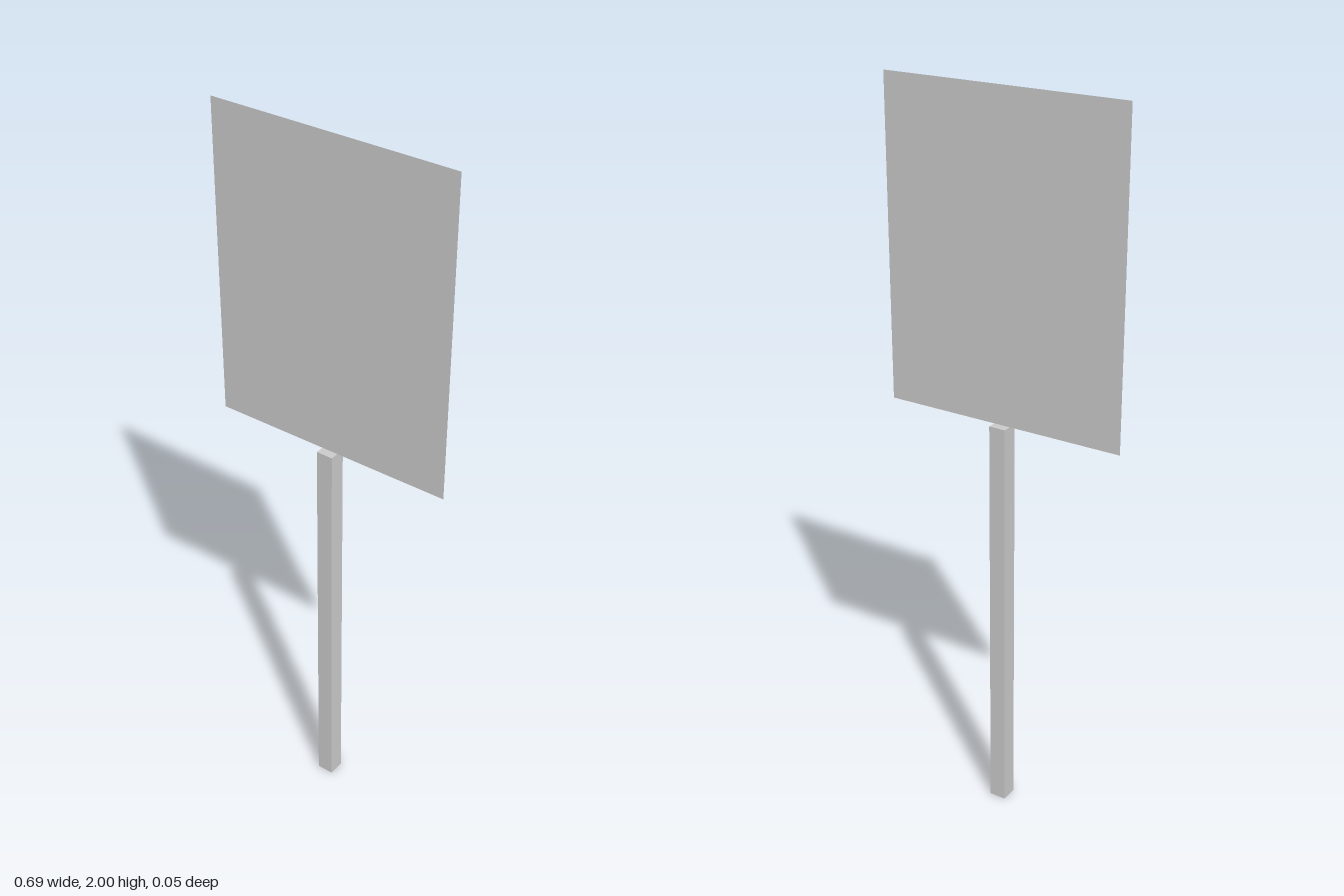
import * as THREE from 'three';

const POST_WIDTH = 0.047;
const POST_HEIGHT = 1.143;
const PANEL_WIDTH = 0.686;
const PANEL_HEIGHT = 2 - POST_HEIGHT;

export function createModel() {
  const group = new THREE.Group();
  group.name = 'signpost';

  // Square post standing on the ground
  const post = new THREE.Mesh(
    new THREE.BoxGeometry(POST_WIDTH, POST_HEIGHT, POST_WIDTH),
    new THREE.MeshStandardMaterial({ color: 0xcccccc, flatShading: true })
  );
  post.name = 'post';
  post.position.y = POST_HEIGHT / 2;
  group.add(post);

  // Paper-thin sign panel resting on top of the post, visible from both sides
  const panel = new THREE.Mesh(
    new THREE.PlaneGeometry(PANEL_WIDTH, PANEL_HEIGHT),
    new THREE.MeshStandardMaterial({ color: 0xcccccc, flatShading: true, side: THREE.DoubleSide })
  );
  panel.name = 'signPanel';
  panel.position.y = POST_HEIGHT + PANEL_HEIGHT / 2;
  group.add(panel);

  return group;
}
